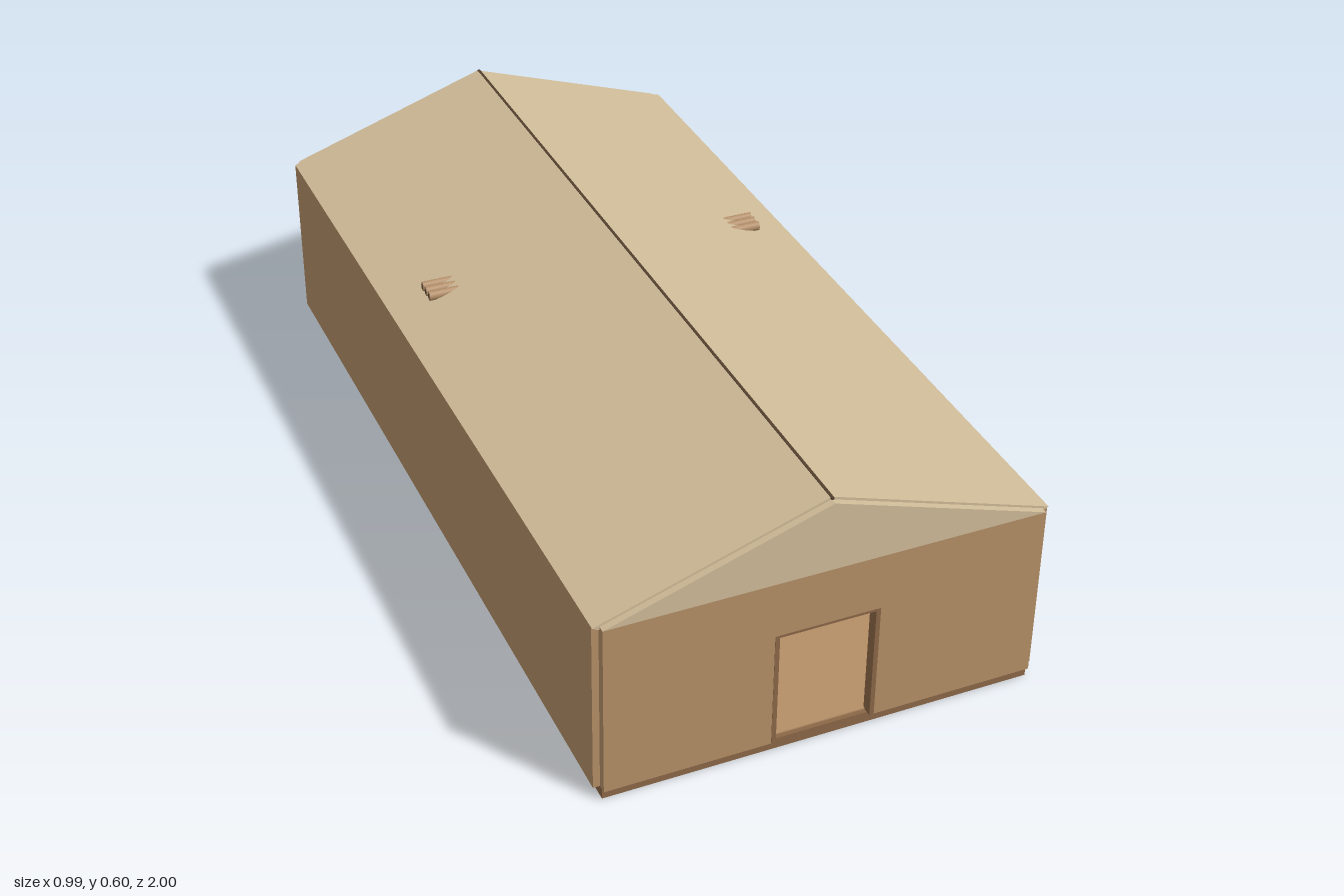
import * as THREE from 'three';

const mat = (name, color) => {
  const m = new THREE.MeshStandardMaterial({ color });
  m.name = name;
  return m;
};

export function createModel() {
  const wood = mat('wall brown', 0xb48e66);
  const tan = mat('roof tan', 0xcfbb98);
  const dark = mat('trim brown', 0x8a6746);
  const seam = mat('seam dark brown', 0x54402e);
  const building = new THREE.Group();
  building.name = 'building';

  const add = (name, geometry, material, x = 0, y = 0, z = 0) => {
    const mesh = new THREE.Mesh(geometry, material);
    mesh.name = name;
    mesh.position.set(x, y, z);
    building.add(mesh);
    return mesh;
  };
  // Box given by its lower and upper corner
  const box = (name, m, x0, x1, y0, y1, z0, z1) =>
    add(name, new THREE.BoxGeometry(x1 - x0, y1 - y0, z1 - z0), m, (x0 + x1) / 2, (y0 + y1) / 2, (z0 + z1) / 2);
  const outline = (points) => new THREE.Shape(points.map(([x, y]) => new THREE.Vector2(x, y)));
  const extrude = (name, m, shape, z0, z1) =>
    add(name, new THREE.ExtrudeGeometry(shape, { depth: z1 - z0, bevelEnabled: false }), m, 0, 0, z0);

  // Plinth and floor
  box('plinth', dark, -0.48, 0.48, 0, 0.025, -0.98, 0.99);
  box('floor', wood, -0.478, 0.478, 0.025, 0.028, -0.975, 0.98);

  // Front wall with doorway
  const front = outline([[-0.48, 0.025], [-0.115, 0.025], [-0.115, 0.302], [0.115, 0.302],
    [0.115, 0.025], [0.48, 0.025], [0.48, 0.432], [-0.48, 0.432]]);
  extrude('frontWall', wood, front, 0.98, 1);
  box('doorwayLintel', dark, -0.115, 0.115, 0.296, 0.302, 0.975, 1);

  // Roof and gables
  const slope = (0.598 - 0.432) / 0.495;
  extrude('roof', tan, outline([[-0.495, 0.432], [-0.48, 0.424], [0, 0.586], [0.48, 0.424],
    [0.495, 0.432], [0, 0.598]]), -0.985, 0.985);
  for (const [z0, z1] of [[0.985, 1], [-1, -0.985]]) {
    extrude('gable', tan, outline([[-0.48, 0.432], [0.48, 0.432], [0, 0.592]]), z0, z1);
  }
  box('ridgeSeam', seam, -0.003, 0.003, 0.594, 0.5985, -0.99, 0.99);

  for (const s of [-1, 1]) {
    const sided = (name, m, a, b, ...rest) => box(name, m, Math.min(s * a, s * b), Math.max(s * a, s * b), ...rest);
    sided('sideWall', wood, 0.478, 0.495, 0.025, 0.432, -0.985, 0.98);
    sided('doorwayJamb', dark, 0.106, 0.116, 0.025, 0.302, 0.975, 1.001);
    sided('rearPost', wood, 0.44, 0.48, 0.025, 0.36, -0.987, -0.965);
    sided('rearDoorJamb', dark, 0.415, 0.44, 0.025, 0.36, -0.992, -0.965);
    sided('rearCornerTrim', dark, 0.478, 0.486, 0.025, 0.36, -0.989, -0.98);
    sided('doorBrace', tan, 0.052, 0.072, 0.03, 0.28, -0.965, -0.957);
    // Three short pipes leaving each roof slope
    for (let i = 0; i < 3; i++) {
      const pipe = add('roofPipe', new THREE.CylinderGeometry(0.012, 0.012, 0.07, 8).rotateX(0).rotateZ(Math.PI / 2),
        wood, s * 0.375, 0.473, -0.198 - i * 0.023);
      pipe.scale.z = 0.75;
      const mouth = add('pipeMouth', new THREE.CylinderGeometry(0.006, 0.006, 0.002, 8).rotateZ(Math.PI / 2),
        seam, s * 0.41, 0.473, -0.198 - i * 0.023);
      mouth.scale.z = 0.75;
    }
  }

  // Rear header and sectional door
  box('rearHeader', wood, -0.48, 0.48, 0.36, 0.432, -1, -0.965);
  for (let i = 0; i < 3; i++) {
    const y = 0.028 + i * 0.111;
    box('rearDoorPanel', wood, -0.415, 0.415, y, y + 0.108, -0.985, -0.967);
    box('rearDoorSeam', seam, -0.415, 0.415, y + 0.108, y + 0.111, -0.983, -0.969);
  }
  box('rearDoorTopRail', tan, -0.415, 0.415, 0.28, 0.297, -0.967, -0.96);

  // Lock plate on the inside of the rear door
  box('lockPlate', tan, -0.047, 0.047, 0.14, 0.256, -0.965, -0.954);
  box('lockBody', wood, -0.02, 0.02, 0.16, 0.2, -0.954, -0.948);
  box('lockKeyhole', dark, -0.004, 0.004, 0.172, 0.19, -0.948, -0.946);
  const shackle = outline([[-0.016, 0.2], [-0.011, 0.2], [-0.011, 0.219], [0.011, 0.219],
    [0.011, 0.2], [0.016, 0.2], [0.016, 0.226], [-0.016, 0.226]]);
  extrude('lockShackle', dark, shackle, -0.954, -0.948);

  return building;
}
